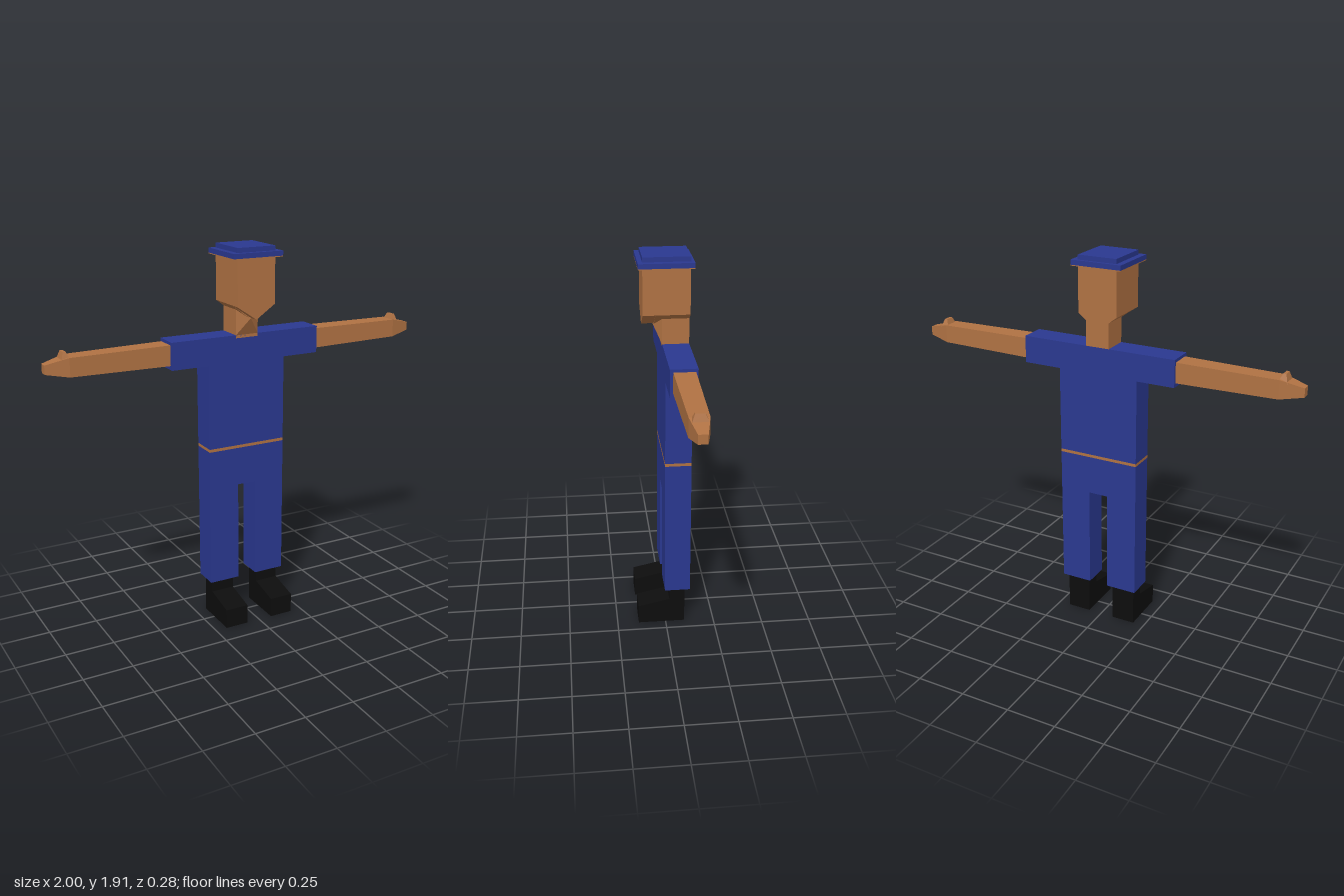
import * as THREE from 'three';
import { ConvexGeometry } from 'three/addons/geometries/ConvexGeometry.js';

const paint = (color) => new THREE.MeshStandardMaterial({ color, flatShading: true });

export function createModel() {
  const model = new THREE.Group();
  model.name = 'uniformedFigure';
  const blue = paint(0x2a3890), skin = paint(0xb07243), black = paint(0x0d0d0d);

  const add = (name, geometry, material) => {
    const mesh = new THREE.Mesh(geometry, material);
    mesh.name = name;
    model.add(mesh);
    return mesh;
  };
  // Box given by its limits on each axis
  const box = (name, [x0, x1], [y0, y1], [z0, z1], material) =>
    add(name, new THREE.BoxGeometry(x1 - x0, y1 - y0, z1 - z0), material)
      .position.set((x0 + x1) / 2, (y0 + y1) / 2, (z0 + z1) / 2);
  // Outline in x and y, extruded from z0 to z1
  const slab = (name, outline, z0, z1, material) => {
    const shape = new THREE.Shape(outline.map(([x, y]) => new THREE.Vector2(x, y)));
    const geometry = new THREE.ExtrudeGeometry(shape, { depth: z1 - z0, bevelEnabled: false });
    return add(name, geometry.translate(0, 0, z0), material);
  };
  const hull = (name, points, material) =>
    add(name, new ConvexGeometry(points.map((p) => new THREE.Vector3(...p))), material);
  // Half outline completed by its mirror image
  const mirrored = (half) => [...half, ...half.map(([x, y]) => [-x, y]).reverse()];

  const back = -0.124, front = 0.005;

  // Clothing
  slab('trousers', mirrored([[0.05, 0.715], [0.05, 0.2], [0.208, 0.2], [0.208, 0.91]]), back, front, blue);
  box('belt', [-0.208, 0.208], [0.91, 0.925], [back, front], skin);
  slab('shirt', mirrored([[0.208, 0.925], [0.208, 1.35], [0.4, 1.35], [0.4, 1.485]]), back, front, blue);

  for (const s of [1, -1]) {
    const side = s > 0 ? 'left' : 'right';

    // Arm and hand: rectangular sections [x, y0, y1, z0, z1]
    const sections = [
      [0.39, 1.37, 1.47, -0.113, -0.01],
      [0.89, 1.375, 1.465, -0.106, -0.017],
      [1.0, 1.395, 1.438, -0.083, -0.041],
    ];
    const corners = sections.flatMap(([x, y0, y1, z0, z1]) =>
      [[s * x, y0, z0], [s * x, y0, z1], [s * x, y1, z0], [s * x, y1, z1]]);
    hull(side + 'Arm', corners, skin);

    // Thumb, a small tapered block on top of the hand
    hull(side + 'Thumb', [
      ...[0.88, 0.925].flatMap((x) => [[s * x, 1.45, -0.1], [s * x, 1.45, -0.025]]),
      ...[0.898, 0.912].flatMap((x) => [[s * x, 1.49, -0.083], [s * x, 1.49, -0.04]]),
    ], skin);

    // Boot: side outline extruded across the width
    const boot = slab(side + 'Boot',
      [[-0.14, 0], [0.098, 0], [0.098, 0.205], [0.02, 0.205], [0.02, 0.135], [-0.14, 0.1]],
      -0.06, 0.06, black);
    boot.rotation.y = Math.PI / 2;
    boot.position.x = s * 0.13;
  }

  // Head with a V-shaped jaw, neck and throat
  slab('head', [[-0.1, 1.87], [-0.1, 1.64], [0, 1.565], [0.1, 1.64], [0.1, 1.87]], back, 0.04, skin);
  slab('face', [[-0.1, 1.87], [-0.1, 1.64], [0, 1.572], [0.1, 1.64], [0.1, 1.87]], 0.04, 0.1, skin);
  box('neck', [-0.06, 0.06], [1.47, 1.61], [back, front], skin);
  hull('throat', [
    [-0.06, 1.485, front], [0.06, 1.485, front], [-0.06, 1.61, front], [0.06, 1.61, front],
    [0, 1.57, 0.045], [0, 1.61, 0.045],
  ], skin);

  // Cap
  box('capLining', [-0.13, 0.13], [1.864, 1.868], [-0.14, 0.122], skin);
  box('capBrim', [-0.13, 0.13], [1.868, 1.892], [-0.14, 0.122], blue);
  box('capTop', [-0.1, 0.1], [1.892, 1.915], [back, 0.1], blue);

  return model;
}
